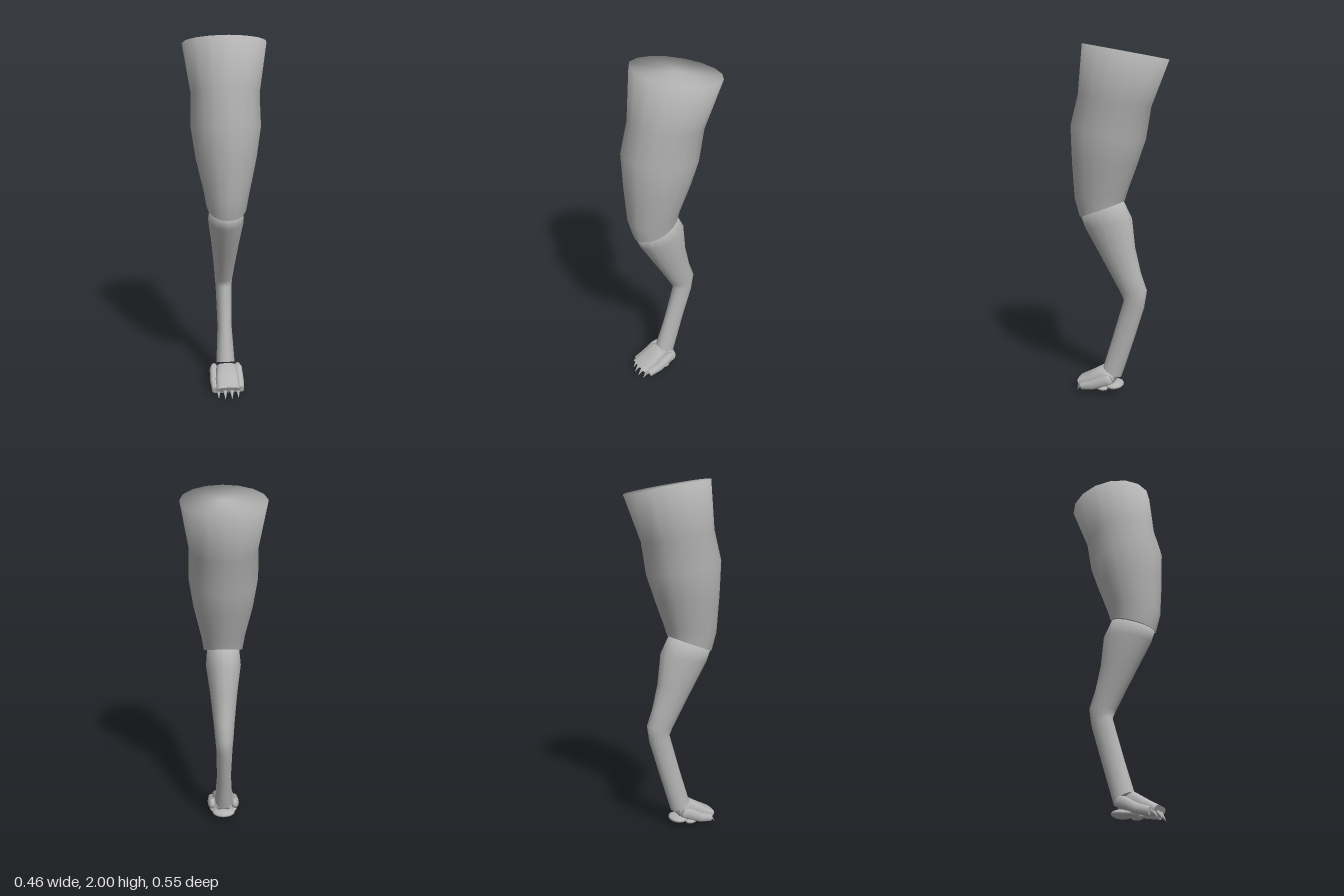
import * as THREE from 'three';

const grey = new THREE.MeshStandardMaterial({ color: 0xb4b4b4 });
grey.name = 'plain grey';

// Smooth loft through tilted oval rings: [frontZ, frontY, backZ, backY, halfWidth].
// Start cap shares normals with the wall; end cap is crisp.
function loft(rings, sides = 16, x = 0, power = 1) {
  const pos = [], idx = [];
  const sq = v => Math.sign(v) * Math.pow(Math.abs(v), power);
  const addRing = ([fz, fy, bz, by, w]) => {
    for (let j = 0; j < sides; j++) {
      const a = (j / sides) * Math.PI * 2, c = sq(Math.cos(a)), s = sq(Math.sin(a));
      pos.push(x + s * w, (fy + by) / 2 + c * (fy - by) / 2, (fz + bz) / 2 + c * (fz - bz) / 2);
    }
  };
  const addCentre = ([fz, fy, bz, by]) => {
    pos.push(x, (fy + by) / 2, (fz + bz) / 2);
    return pos.length / 3 - 1;
  };
  rings.forEach(addRing);
  const n = rings.length, last = rings[n - 1];
  for (let i = 0; i < n - 1; i++) {
    for (let j = 0; j < sides; j++) {
      const k = (j + 1) % sides;
      const a = i * sides + j, b = i * sides + k, c = a + sides, d = b + sides;
      idx.push(a, c, b, b, c, d);
    }
  }
  addRing(last);
  const start = addCentre(rings[0]), end = addCentre(last), e = n * sides;
  for (let j = 0; j < sides; j++) {
    const k = (j + 1) % sides;
    idx.push(start, j, k, end, e + k, e + j);
  }
  const g = new THREE.BufferGeometry();
  g.setAttribute('position', new THREE.Float32BufferAttribute(pos, 3));
  g.setIndex(idx);
  g.computeVertexNormals();
  return g;
}

export function createModel() {
  const model = new THREE.Group();
  model.name = 'animalHindLeg';
  const add = (name, geometry) => {
    const m = new THREE.Mesh(geometry, grey);
    m.name = name;
    model.add(m);
    return m;
  };

  // Thigh with slanted top and an overhanging lip behind the knee
  add('thigh', loft([
    [0.20, 2.00, -0.277, 1.91, 0.228],
    [0.23, 1.73, -0.18, 1.66, 0.186],
    [0.275, 1.56, -0.15, 1.48, 0.19],
    [0.27, 1.36, -0.105, 1.35, 0.166],
    [0.26, 1.15, -0.05, 1.20, 0.125],
    [0.23, 1.04, -0.03, 1.14, 0.11],
  ]));

  // Lower leg: shin, hock and shank
  add('lowerLeg', loft([
    [0.226, 1.045, -0.022, 1.145, 0.092],
    [0.20, 0.98, -0.075, 1.04, 0.1],
    [0.125, 0.85, -0.095, 0.87, 0.079],
    [0.04, 0.70, -0.13, 0.725, 0.062],
    [-0.01, 0.61, -0.165, 0.63, 0.053],
    [-0.03, 0.57, -0.15, 0.53, 0.047],
    [0.04, 0.33, -0.09, 0.33, 0.042],
    [0.095, 0.15, -0.015, 0.095, 0.054],
  ]));

  // Paw: wedge-shaped middle, sloping down to the front
  add('paw', loft([
    [0.06, 0.125, 0.02, 0.06, 0.05],
    [0.105, 0.148, 0.06, 0.05, 0.06],
    [0.17, 0.108, 0.14, 0.03, 0.068],
    [0.245, 0.066, 0.22, 0.02, 0.066],
  ], 16, 0, 0.65));

  for (const side of [-1, 1]) {
    // Outer toes along both sides of the paw
    add('outerToe', loft([
      [0.045, 0.12, 0.015, 0.075, 0.014],
      [0.075, 0.117, 0.045, 0.06, 0.026],
      [0.15, 0.075, 0.13, 0.025, 0.028],
      [0.215, 0.054, 0.205, 0.014, 0.022],
    ], 12, side * 0.07, 0.8));
    // Claws
    for (const x of [0.019, 0.056]) {
      const tip = x > 0.03 ? 0.245 : 0.257;
      add('claw', loft([
        [tip - 0.035, 0.056, tip - 0.045, 0.022, 0.014],
        [tip - 0.016, 0.036, tip - 0.022, 0.018, 0.009],
        [tip, 0.002, tip, 0.0, 0.001],
      ], 8, side * x));
    }
  }

  // Pads under the paw
  const pad = (name, x, y, z, rx, ry, rz) => {
    const m = add(name, new THREE.SphereGeometry(1, 16, 10));
    m.position.set(x, y, z);
    m.scale.set(rx, ry, rz);
  };
  pad('heelPad', 0, 0.043, 0.03, 0.07, 0.022, 0.056);
  for (const side of [-1, 1]) {
    pad('toePad', side * 0.026, 0.033, 0.105, 0.022, 0.014, 0.034);
    pad('toePad', side * 0.062, 0.033, 0.085, 0.022, 0.014, 0.034);
  }
  return model;
}
